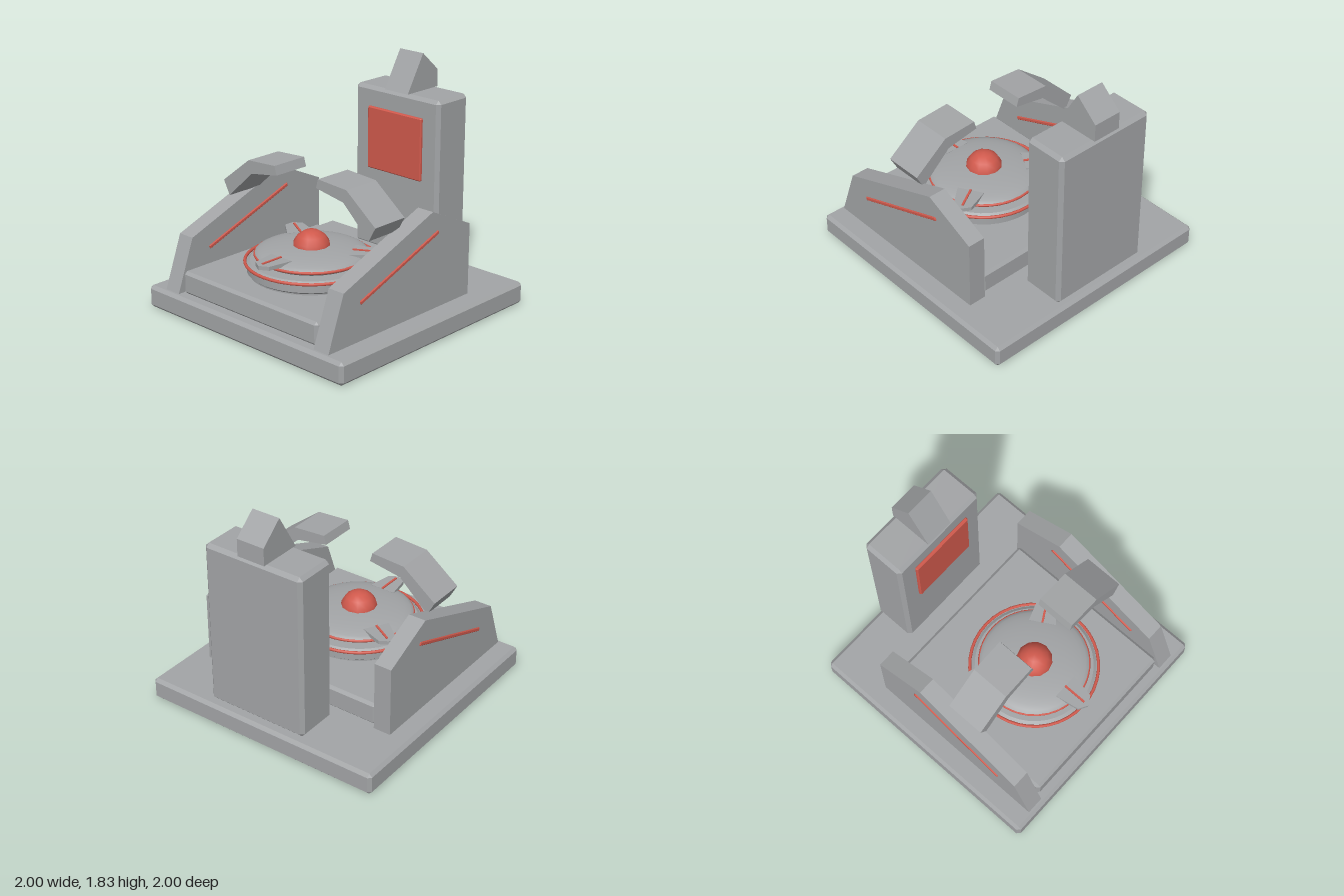
import * as THREE from 'three';
import { ConvexGeometry } from 'three/addons/geometries/ConvexGeometry.js';

const grey = new THREE.MeshStandardMaterial({ color: 0xa2a4a6 });
grey.name = 'grey metal';
const red = new THREE.MeshStandardMaterial({ color: 0xd0594c });
red.name = 'red glow';

function add(parent, name, geometry, material, x = 0, y = 0, z = 0) {
  const mesh = new THREE.Mesh(geometry, material);
  mesh.name = name;
  mesh.position.set(x, y, z);
  parent.add(mesh);
  return mesh;
}

// Box with chamfered edges, centred on the origin
function chamferBox(w, h, d, c) {
  const points = [];
  for (const sx of [-1, 1]) for (const sy of [-1, 1]) for (const sz of [-1, 1]) {
    const [x, y, z] = [w / 2, h / 2, d / 2];
    points.push(
      new THREE.Vector3(sx * x, sy * (y - c), sz * (z - c)),
      new THREE.Vector3(sx * (x - c), sy * y, sz * (z - c)),
      new THREE.Vector3(sx * (x - c), sy * (y - c), sz * z));
  }
  return new ConvexGeometry(points);
}

// Straight extrusion of an outline, centred on its depth
function slab(points, depth) {
  const shape = new THREE.Shape(points.map(([x, y]) => new THREE.Vector2(x, y)));
  return new THREE.ExtrudeGeometry(shape, { depth, bevelEnabled: false }).translate(0, 0, -depth / 2);
}

// Outline given as (z, y), extruded along x
const sideSlab = (points, depth) =>
  slab(points.map(([z, y]) => [-z, y]), depth).rotateY(Math.PI / 2);

export function createModel() {
  const model = new THREE.Group();
  model.name = 'console';

  // Base and raised platform
  add(model, 'base', chamferBox(2, 0.175, 2, 0.025), grey, 0, 0.0875, 0);
  add(model, 'platform', chamferBox(1.38, 0.18, 1.42, 0.022), grey, 0, 0.26, 0.21);

  // Rear tower with screen and pointed cap
  add(model, 'tower', chamferBox(0.84, 1.305, 0.345, 0.028), grey, 0, 0.8875, -0.8275);
  add(model, 'screen', chamferBox(0.54, 0.495, 0.03, 0.008), red, 0, 1.1375, -0.645);
  add(model, 'towerCap', sideSlab(
    [[-0.655, 1.54], [-0.825, 1.83], [-1, 1.675], [-1, 1.54]], 0.23), grey);

  // Side walls, light strips and bent arms
  const wall = [[0.96, 0.175], [0.81, 0.58], [-0.11, 0.925], [-0.53, 0.73], [-0.53, 0.175]];
  const arm = [[0.2, 1.085], [0.22, 1.155], [0.495, 1.138], [0.77, 0.925], [0.71, 0.815], [0.465, 1.04]];
  for (const [side, s] of [['left', 1], ['right', -1]]) {
    add(model, side + 'Wall', sideSlab(wall, 0.14), grey, s * 0.77, 0, 0);
    const strip = add(model, side + 'WallStrip', chamferBox(0.158, 0.03, 0.875, 0.006), red, s * 0.77, 0.611, 0.235);
    strip.rotation.x = 0.352;
    add(model, side + 'Arm', slab(arm.map(([x, y]) => [s * x, y]), 0.305), grey, 0, 0, 0.268);
  }

  // Round turntable
  const disc = new THREE.Group();
  disc.name = 'turntable';
  disc.position.z = 0.265;
  model.add(disc);
  const profile = [[0, 0.345], [0.46, 0.345], [0.46, 0.36], [0.48, 0.375], [0.48, 0.435], [0.455, 0.455], [0, 0.455]];
  // Each profile segment is its own lathe so edges stay sharp
  for (let i = 1; i < profile.length; i++) {
    const pair = [profile[i - 1], profile[i]].map(([x, y]) => new THREE.Vector2(x, y));
    add(disc, 'turntableBody', new THREE.LatheGeometry(pair, 40), grey);
  }
  const ring = (radius, tube) => new THREE.TorusGeometry(radius, tube, 8, 40).rotateX(Math.PI / 2);
  add(disc, 'lowerRing', ring(0.493, 0.012), red, 0, 0.445, 0);
  add(disc, 'saucer', new THREE.SphereGeometry(0.425, 32, 16).scale(1, 0.165, 1), grey, 0, 0.5, 0);
  add(disc, 'upperRing', ring(0.418, 0.011), red, 0, 0.5, 0);
  add(disc, 'dome', new THREE.SphereGeometry(0.145, 12, 8), red, 0, 0.535, 0);

  // Three fins with light strips
  const fin = [[-0.105, -0.31], [-0.07, -0.5], [0, -0.54], [0.07, -0.5], [0.105, -0.31]];
  for (let i = 0; i < 3; i++) {
    const arm3 = new THREE.Group();
    arm3.name = 'fin';
    arm3.rotation.y = i * Math.PI * 2 / 3;
    disc.add(arm3);
    add(arm3, 'finPlate', slab(fin, 0.03).rotateX(-Math.PI / 2), grey, 0, 0.533, 0);
    add(arm3, 'finStrip', new THREE.BoxGeometry(0.016, 0.012, 0.19), red, 0, 0.55, 0.405);
  }
  return model;
}
